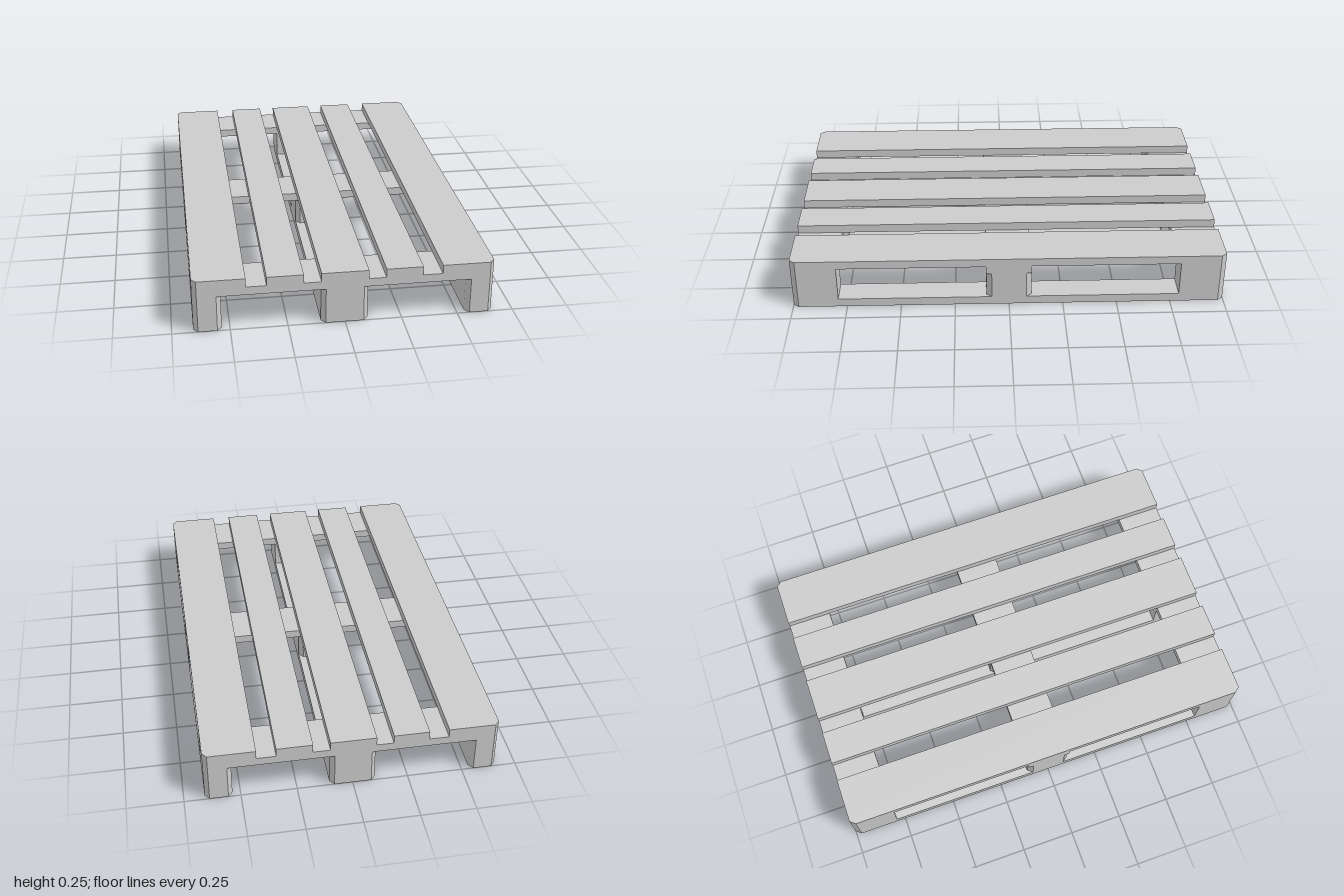
import * as THREE from 'three';

const CX = 0.02, CZ = 0.025; // corner cut along x and z
const X = 0.658, Z = 1;      // half width and half length
const LEVEL = { base: 0, block: 0.04, cross: 0.167, deck: 0.205, top: 0.245 };

const material = new THREE.MeshStandardMaterial({ color: 0xcccccc, flatShading: true });

// Plank between two corners in plan and two heights; cut(sx, sz) says which corners are chamfered.
function plank(name, x0, x1, z0, z1, y0, y1, cut) {
  const points = [];
  for (const [sx, sz] of [[-1, -1], [1, -1], [1, 1], [-1, 1]]) {
    const x = sx < 0 ? x0 : x1, z = sz < 0 ? z0 : z1;
    if (!cut(sx, sz)) {
      points.push([x, z]);
      continue;
    }
    const alongX = [x - sx * CX, z], alongZ = [x, z - sz * CZ];
    points.push(...(sx * sz > 0 ? [alongZ, alongX] : [alongX, alongZ]));
  }
  const shape = new THREE.Shape(points.map(([x, z]) => new THREE.Vector2(x, -z)));
  const geometry = new THREE.ExtrudeGeometry(shape, { depth: y1 - y0, bevelEnabled: false });
  geometry.rotateX(-Math.PI / 2).translate(0, y0, 0);
  const mesh = new THREE.Mesh(geometry, material);
  mesh.name = name;
  return mesh;
}

export function createModel() {
  const pallet = new THREE.Group();
  pallet.name = 'pallet';
  const all = () => true, none = () => false;

  // Deck boards, the outer two with cut outside corners
  const deck = [[-X, -0.428], [-0.34, -0.18], [-0.104, 0.102], [0.178, 0.34], [0.426, X]];
  deck.forEach(([x0, x1], i) => {
    const side = i === 0 ? -1 : i === 4 ? 1 : 0;
    pallet.add(plank('deckBoard', x0, x1, -Z, Z, LEVEL.deck, LEVEL.top, (sx) => sx === side));
  });

  const rows = [[-Z, -0.79, -1], [-0.105, 0.105, 0], [0.79, Z, 1]];
  const columns = [[-X, -0.535], [-0.104, 0.102], [0.535, X]];

  // Cross boards under the deck
  for (const [z0, z1, end] of rows) {
    const cut = end ? (sx, sz) => sz === end : none;
    pallet.add(plank('crossBoard', -X, X, z0, z1, LEVEL.cross, LEVEL.deck, cut));
  }

  // Runners on the floor with three spacer blocks each
  for (const [x0, x1] of columns) {
    pallet.add(plank('runner', x0, x1, -Z, Z, LEVEL.base, LEVEL.block, all));
    for (const [z0, z1, end] of rows) {
      const cut = end ? (sx, sz) => sz === end : all;
      pallet.add(plank('spacerBlock', x0, x1, z0, z1, LEVEL.block, LEVEL.cross, cut));
    }
  }
  return pallet;
}
